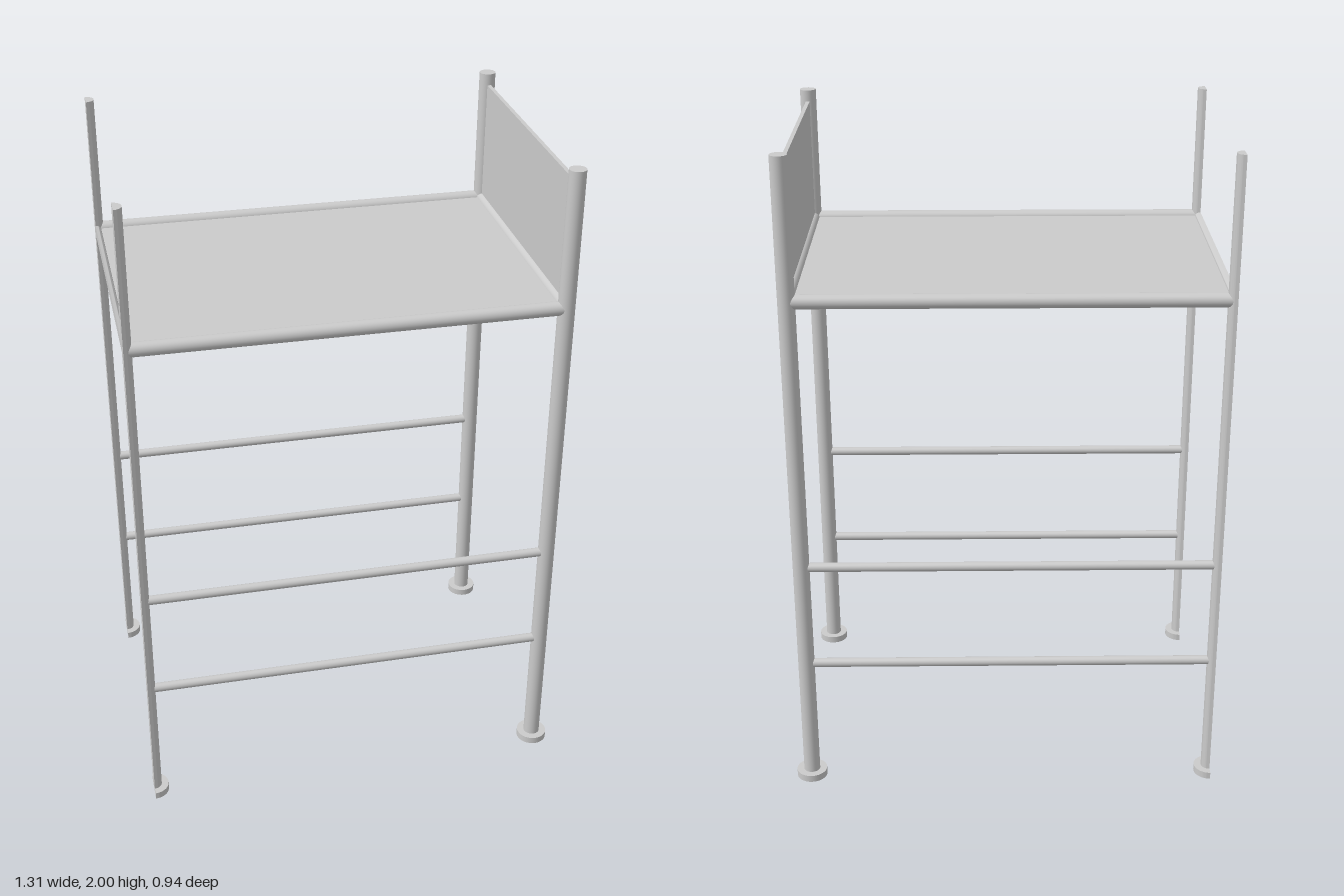
import * as THREE from 'three';
import { toCreasedNormals } from 'three/addons/utils/BufferGeometryUtils.js';

const material = new THREE.MeshStandardMaterial({ color: 0xcccccc });
const CUT = -0.655;   // flat open end of the frame
const POST_X = 0.605; // centre of the full posts
const POST_Z = 0.421;
const DECK_Y = 1.582;

export function createModel() {
  const model = new THREE.Group();
  model.name = 'loftFrame';

  const add = (name, geometry, x, y, z) => {
    const mesh = new THREE.Mesh(geometry, material);
    mesh.name = name;
    mesh.position.set(x, y, z);
    model.add(mesh);
    return mesh;
  };

  // Solid half-round bar along +z, flat side facing -x
  const halfBar = (radius, length) => {
    const shape = new THREE.Shape();
    shape.absarc(0, 0, radius, -Math.PI / 2, Math.PI / 2, false);
    shape.closePath();
    const bar = new THREE.ExtrudeGeometry(shape, { depth: length, bevelEnabled: false, curveSegments: 16 });
    return toCreasedNormals(bar, 0.6);
  };

  const rod = (radius, length) => new THREE.CylinderGeometry(radius, radius, length, 32);

  // Round bar along x between the two ends of the frame
  const rail = (name, radius, y, z) => {
    const start = CUT + 0.002, end = POST_X - 0.01;
    add(name, rod(radius, end - start).rotateZ(Math.PI / 2), (start + end) / 2, y, z);
  };

  for (const side of [-1, 1]) {
    const z = side * POST_Z;

    // Full posts with disc feet
    add('post', rod(0.025, 2), POST_X, 1, z);
    add('foot', rod(0.047, 0.022), POST_X, 0.011, z);

    // Half posts with half feet at the flat end
    add('halfPost', halfBar(0.025, 2).rotateX(-Math.PI / 2), CUT, 0, z);
    add('halfFoot', halfBar(0.047, 0.022).rotateX(-Math.PI / 2), CUT, 0, z);

    // Deck rail and two thinner lower rails
    rail('deckRail', 0.021, DECK_Y, z);
    for (const y of [0.41, 0.742]) rail('lowerRail', 0.014, y, z);
  }

  // Cross rails at both ends of the deck
  add('endRail', rod(0.021, POST_Z * 2).rotateX(Math.PI / 2), POST_X, DECK_Y, 0);
  add('halfEndRail', halfBar(0.018, POST_Z * 2), CUT, DECK_Y, -POST_Z);

  // Deck and end panel
  add('deck', new THREE.BoxGeometry(POST_X - CUT - 0.004, 0.012, POST_Z * 2), (POST_X + CUT) / 2, DECK_Y, 0);
  add('endPanel', new THREE.BoxGeometry(0.012, 0.375, POST_Z * 2 - 0.04), POST_X, 1.7775, 0);

  return model;
}
